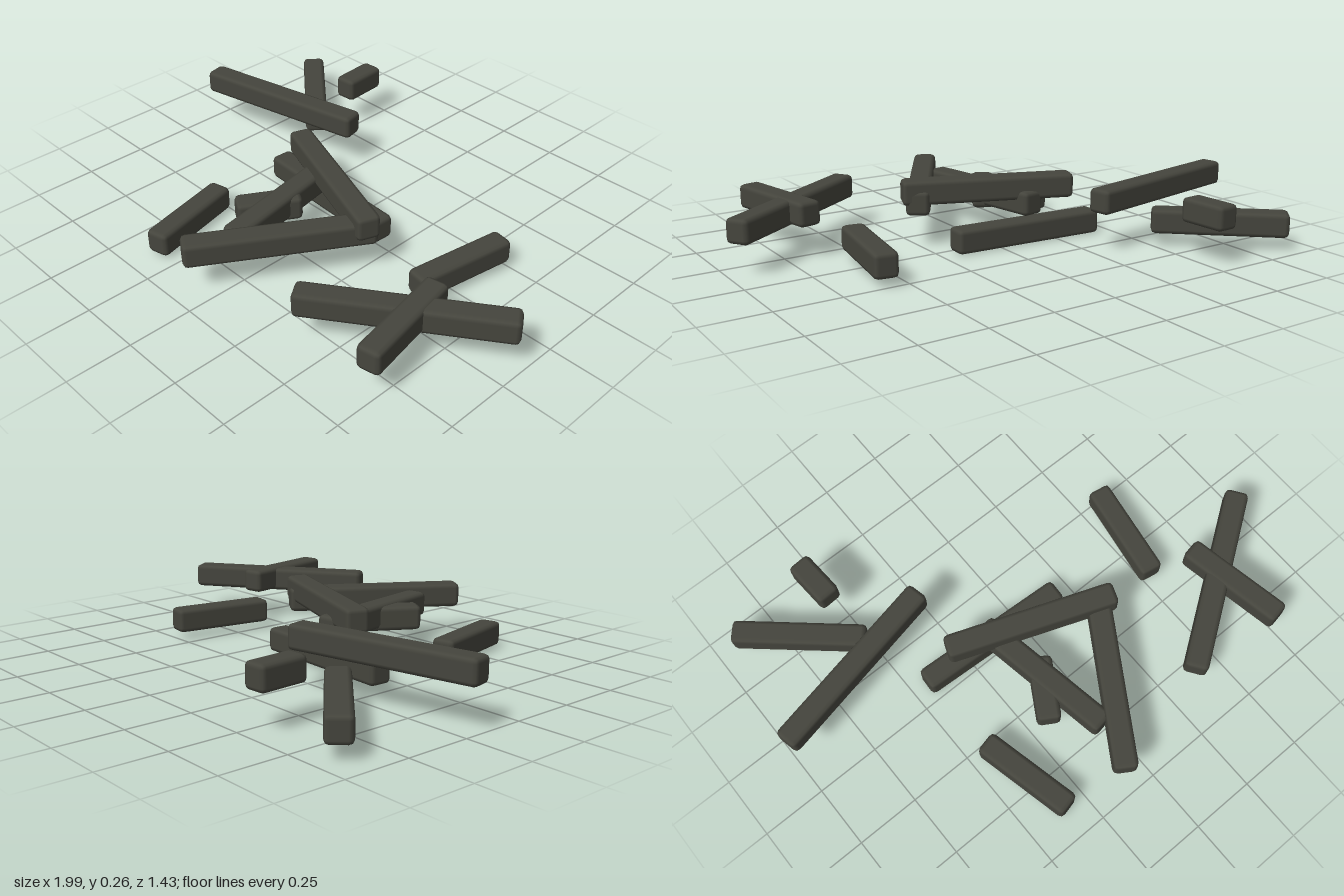
import * as THREE from 'three';
import { RoundedBoxGeometry } from 'three/addons/geometries/RoundedBoxGeometry.js';

const WIDTH = 0.092, HEIGHT = 0.096, BEVEL = 0.018;

// Each bar: name, end centre x/z, other end centre x/z, underside height
const BARS = [
  ['backDiagonalBar', -0.902, -0.684, -0.514, -0.342, 0.05],
  ['backLongBar', -0.992, -0.171, -0.264, -0.323, 0.149],
  ['backStub', -0.546, -0.72, -0.534, -0.526, 0.134],
  ['middleBaseBar', -0.443, -0.07, 0.188, -0.035, 0],
  ['middleTopBar', -0.326, -0.075, 0.303, 0.16, 0.164],
  ['frontLongBar', -0.104, 0.69, 0.27, 0.094, 0.125],
  ['middleCrossBar', -0.152, -0.074, -0.05, 0.508, 0.105],
  ['middleStub', -0.195, 0.369, -0.067, 0.155, 0.095],
  ['frontRightBar', -0.42, 0.262, -0.33, 0.647, 0.012],
  ['leftShortBar', 0.586, -0.254, 0.519, 0.152, 0.03],
  ['leftLongBar', 0.348, 0.57, 0.971, 0.136, 0.117],
  ['leftCrossBar', 0.66, 0.195, 0.738, 0.615, 0.122],
];

export function createModel() {
  const group = new THREE.Group();
  group.name = 'scatteredBars';
  const darkGrey = new THREE.MeshStandardMaterial({ color: 0x45453d });
  darkGrey.name = 'darkOliveGrey';

  // Bevelled bar lying flat between its two end points
  for (const [name, x1, z1, x2, z2, y] of BARS) {
    const length = Math.hypot(x2 - x1, z2 - z1);
    const bar = new THREE.Mesh(new RoundedBoxGeometry(length, HEIGHT, WIDTH, 1, BEVEL), darkGrey);
    bar.name = name;
    bar.position.set((x1 + x2) / 2, y + HEIGHT / 2, (z1 + z2) / 2);
    bar.rotation.y = -Math.atan2(z2 - z1, x2 - x1);
    group.add(bar);
  }
  return group;
}
